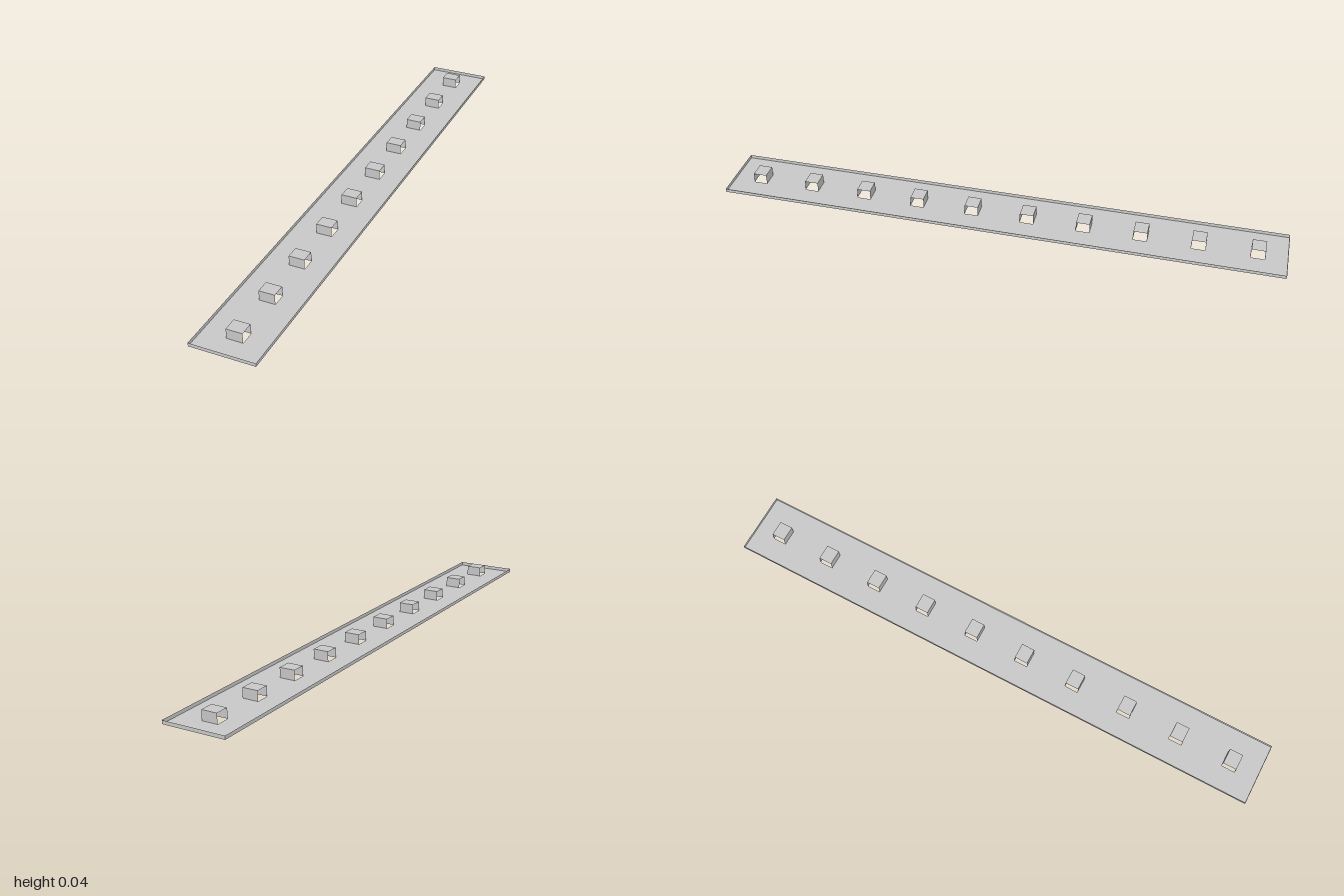
import * as THREE from 'three';

const WIDTH = 0.223, LENGTH = 2, LIP = 0.0125;
const BRIDGE = { width: 0.056, depth: 0.048, height: 0.035, count: 10, pitch: 0.2 };

export function createModel() {
  const group = new THREE.Group();
  const metal = new THREE.MeshStandardMaterial({ color: 0xc8c8c8, side: THREE.DoubleSide });
  metal.name = 'sheet metal grey';

  const rows = Array.from({ length: BRIDGE.count }, (_, i) => (i - (BRIDGE.count - 1) / 2) * BRIDGE.pitch);

  const rectangle = (path, w, d, cy = 0) => {
    path.moveTo(-w / 2, cy - d / 2);
    path.lineTo(w / 2, cy - d / 2);
    path.lineTo(w / 2, cy + d / 2);
    path.lineTo(-w / 2, cy + d / 2);
    path.closePath();
    return path;
  };

  // Thin sheet, facing +z before it is turned
  const addSheet = (parent, name, w, h, position, rotation = [0, 0, 0]) => {
    const mesh = new THREE.Mesh(new THREE.PlaneGeometry(w, h), metal);
    mesh.name = name;
    mesh.position.set(...position);
    mesh.rotation.set(...rotation);
    parent.add(mesh);
  };

  // Floor with a slot punched under every bridge
  const outline = rectangle(new THREE.Shape(), WIDTH, LENGTH);
  for (const z of rows) outline.holes.push(rectangle(new THREE.Path(), BRIDGE.width, BRIDGE.depth, -z));
  const floor = new THREE.Mesh(new THREE.ShapeGeometry(outline).rotateX(-Math.PI / 2), metal);
  floor.name = 'floor';
  group.add(floor);

  // Upturned lip around the edge
  for (const s of [1, -1]) {
    addSheet(group, s > 0 ? 'leftLip' : 'rightLip', LENGTH, LIP, [s * WIDTH / 2, LIP / 2, 0], [0, s * Math.PI / 2, 0]);
    addSheet(group, s > 0 ? 'frontLip' : 'backLip', WIDTH, LIP, [0, LIP / 2, s * LENGTH / 2], [0, s > 0 ? 0 : Math.PI, 0]);
  }

  // Raised bridges, open towards both long sides
  rows.forEach((z, i) => {
    const bridge = new THREE.Group();
    bridge.name = `bridge${i + 1}`;
    bridge.position.z = z;
    const { width, depth, height } = BRIDGE;
    addSheet(bridge, 'bridgeTop', width, depth, [0, height, 0], [-Math.PI / 2, 0, 0]);
    addSheet(bridge, 'bridgeFront', width, height, [0, height / 2, depth / 2]);
    addSheet(bridge, 'bridgeBack', width, height, [0, height / 2, -depth / 2], [0, Math.PI, 0]);
    group.add(bridge);
  });

  return group;
}
